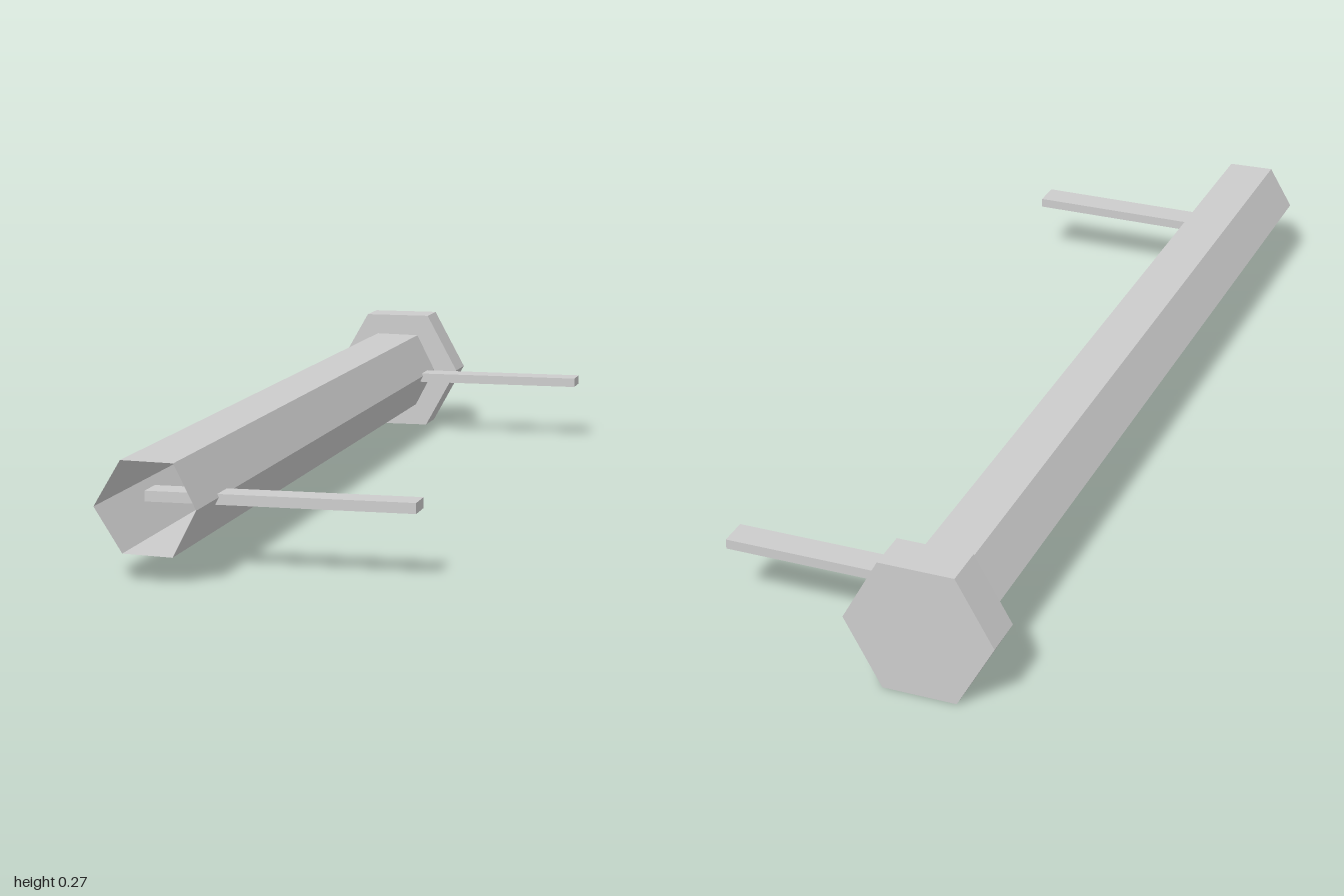
import * as THREE from 'three';

// Hexagon outlines in x, y
const HEAD = [[-0.305, 0.136], [-0.23, 0], [-0.083, 0], [-0.008, 0.136], [-0.08, 0.268], [-0.23, 0.268]];
const TUBE = [[-0.255, 0.136], [-0.202, 0.053], [-0.108, 0.05], [-0.063, 0.137], [-0.105, 0.22], [-0.204, 0.222]];

// Flat-sided wall around an outline, open at both ends
function openPrism(outline, z0, z1) {
  const positions = [];
  outline.forEach(([ax, ay], i) => {
    const [bx, by] = outline[(i + 1) % outline.length];
    positions.push(ax, ay, z0, bx, by, z0, bx, by, z1);
    positions.push(ax, ay, z0, bx, by, z1, ax, ay, z1);
  });
  const geometry = new THREE.BufferGeometry();
  geometry.setAttribute('position', new THREE.Float32BufferAttribute(positions, 3));
  geometry.computeVertexNormals();
  return geometry;
}

export function createModel() {
  const group = new THREE.Group();
  const grey = new THREE.MeshStandardMaterial({ color: 0xcccccc, side: THREE.DoubleSide });
  grey.name = 'light grey';

  const add = (name, geometry) => {
    const mesh = new THREE.Mesh(geometry, grey);
    mesh.name = name;
    group.add(mesh);
    return mesh;
  };

  // Hollow hexagonal shaft, open at the front
  add('shaft', openPrism(TUBE, -0.91, 1));

  // Solid hexagonal head at the back
  const headShape = new THREE.Shape(HEAD.map(([x, y]) => new THREE.Vector2(x, y)));
  const head = add('head', new THREE.ExtrudeGeometry(headShape, { depth: 0.088, bevelEnabled: false }));
  head.position.z = -1;

  // Two flat arms passing through the shaft wall
  for (const [name, z] of [['frontArm', 0.835], ['backArm', -0.82]]) {
    const arm = add(name, new THREE.BoxGeometry(0.509, 0.02, 0.06));
    arm.position.set(0.0495, 0.133, z);
  }

  return group;
}
